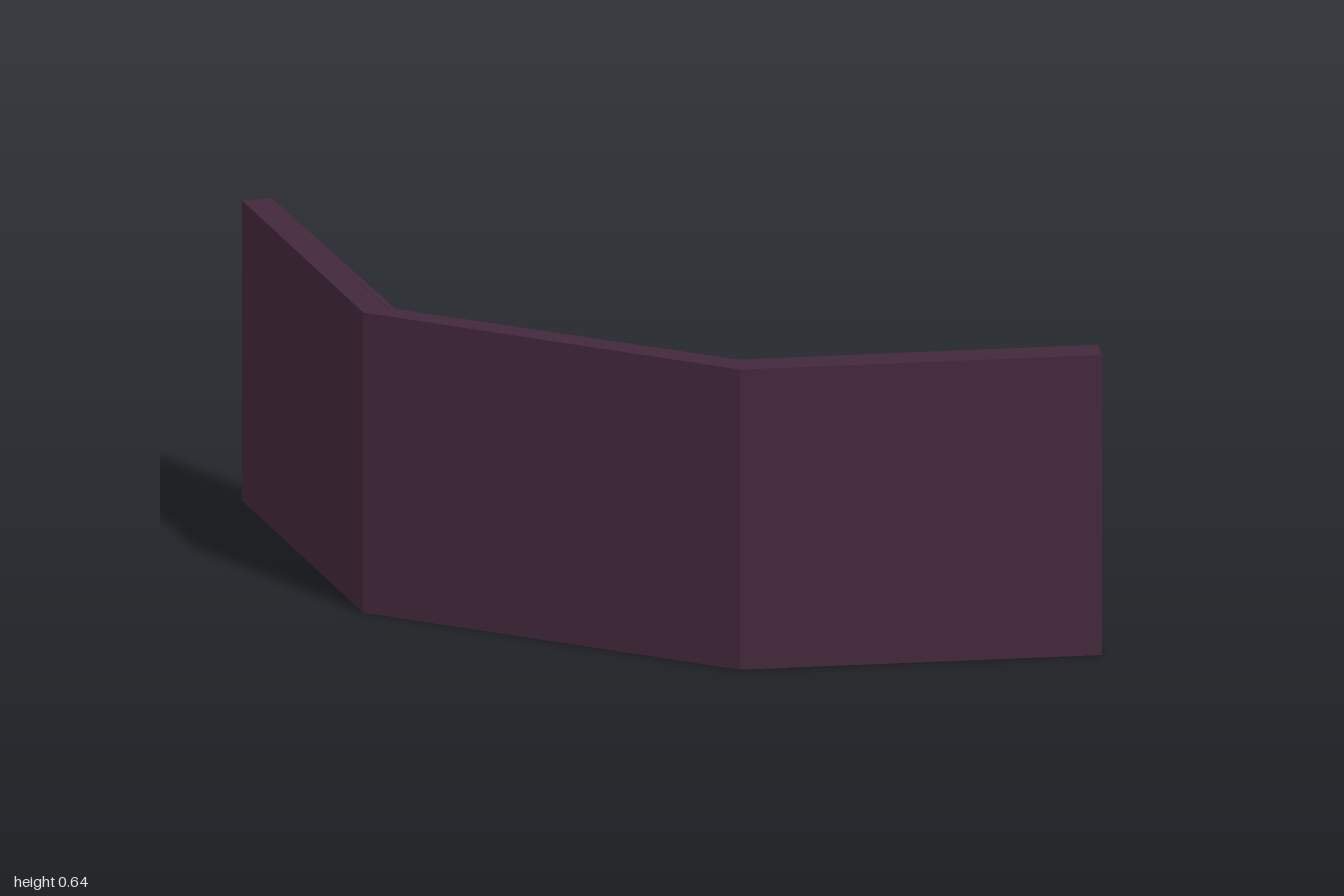
import * as THREE from 'three';

const HEIGHT = 0.645, LOW = 0.03, HIGH = 0.615;

// Plan corners [x, z] from the +x end to the -x end
const outer = [[1, -0.185], [0.39, 0.238], [-0.455, 0.275], [-1, -0.235]];
const inner = [[0.963, -0.238], [0.358, 0.184], [-0.406, 0.225], [-0.952, -0.275]];

// Per wing: panel spans along the wing, and marks [start, end, bottom, top, roundStart, roundEnd]
const wings = [
  {
    name: 'leftWing',
    panels: [[0.035, 0.703]],
    marks: [[0.26, 0.61, 0.157, 0.482, 0.008, 0.008]],
  },
  {
    name: 'middleWing',
    panels: [[0.03, 0.286], [0.345, 0.732]],
    marks: [
      [0.03, 0.177, 0.45, 0.49, 0, 0.018], [0.345, 0.503, 0.45, 0.49, 0, 0.018], [0.636, 0.732, 0.45, 0.49, 0.018, 0],
      [0.03, 0.286, 0.362, 0.414, 0, 0], [0.345, 0.732, 0.362, 0.414, 0, 0],
      [0.095, 0.286, 0.252, 0.287, 0.016, 0], [0.345, 0.638, 0.252, 0.287, 0, 0.016],
      [0.03, 0.286, 0.107, 0.176, 0, 0], [0.345, 0.732, 0.107, 0.176, 0, 0],
    ],
  },
  {
    name: 'rightWing',
    panels: [[0.03, 0.336], [0.436, 0.706]],
    marks: [
      [0.11, 0.336, 0.42, 0.49, 0.018, 0], [0.436, 0.63, 0.42, 0.455, 0, 0.01],
      [0.03, 0.336, 0.262, 0.295, 0, 0], [0.436, 0.636, 0.262, 0.295, 0, 0.01],
      [0.11, 0.336, 0.112, 0.18, 0.018, 0], [0.436, 0.64, 0.112, 0.18, 0, 0.018],
    ],
  },
];

// Rectangle whose start and end corners may be rounded
function roundedRect(path, x0, x1, y0, y1, r0, r1) {
  path.moveTo(x0 + r0, y0);
  path.lineTo(x1 - r1, y0);
  if (r1) path.absarc(x1 - r1, y0 + r1, r1, -Math.PI / 2, 0);
  else path.lineTo(x1, y0);
  path.lineTo(x1, y1 - r1);
  if (r1) path.absarc(x1 - r1, y1 - r1, r1, 0, Math.PI / 2);
  else path.lineTo(x1, y1);
  path.lineTo(x0 + r0, y1);
  if (r0) path.absarc(x0 + r0, y1 - r0, r0, Math.PI / 2, Math.PI);
  else path.lineTo(x0, y1);
  path.lineTo(x0, y0 + r0);
  if (r0) path.absarc(x0 + r0, y0 + r0, r0, Math.PI, Math.PI * 1.5);
  return path;
}

// Extruded plate whose visible face lies at z = front
function plate(name, shape, front, thickness, material) {
  const geo = new THREE.ExtrudeGeometry(shape, { depth: thickness, bevelEnabled: false, curveSegments: 4 });
  geo.translate(0, 0, front - thickness);
  const mesh = new THREE.Mesh(geo, material);
  mesh.name = name;
  return mesh;
}

export function createModel() {
  const frameMat = new THREE.MeshStandardMaterial({ name: 'dark plum', color: 0x44283c });
  const panelMat = new THREE.MeshStandardMaterial({ name: 'cream', color: 0xdcd5b4 });
  const markMat = new THREE.MeshStandardMaterial({ name: 'slate', color: 0x737d84 });

  const model = new THREE.Group();
  model.name = 'foldedDisplay';

  // Folded backing board, set back a little behind the frames
  const recessed = inner.map(([x, z], i) => [x + (outer[i][0] - x) * 0.2, z + (outer[i][1] - z) * 0.2]);
  const plan = new THREE.Shape([...outer, ...recessed.reverse()].map(([x, z]) => new THREE.Vector2(x, -z)));
  const boardGeo = new THREE.ExtrudeGeometry(plan, { depth: HEIGHT, bevelEnabled: false });
  boardGeo.rotateX(-Math.PI / 2);
  const board = new THREE.Mesh(boardGeo, frameMat);
  board.name = 'backingBoard';
  model.add(board);

  wings.forEach((wing, i) => {
    const [ax, az] = inner[i], [bx, bz] = inner[i + 1];
    const length = Math.hypot(bx - ax, bz - az);
    const group = new THREE.Group();
    group.name = wing.name;
    group.position.set(ax, 0, az);
    group.rotation.y = Math.atan2(az - bz, bx - ax);

    // Frame with openings, run slightly into the neighbouring wing at each fold
    const start = i > 0 ? -0.004 : 0, end = length + (i < 2 ? 0.004 : 0);
    const frame = roundedRect(new THREE.Shape(), start, end, 0, HEIGHT, 0, 0);
    for (const [x0, x1] of wing.panels) {
      frame.holes.push(roundedRect(new THREE.Path(), x0, x1, LOW, HIGH, 0.01, 0.01));
    }
    group.add(plate('frame', frame, 0, 0.013, frameMat));

    // Sunken panels and their painted marks
    for (const [x0, x1] of wing.panels) {
      const shape = roundedRect(new THREE.Shape(), x0, x1, LOW, HIGH, 0, 0);
      group.add(plate('panel', shape, -0.008, 0.004, panelMat));
    }
    for (const mark of wing.marks) {
      group.add(plate('mark', roundedRect(new THREE.Shape(), ...mark), -0.0068, 0.003, markMat));
    }
    model.add(group);
  });
  return model;
}
